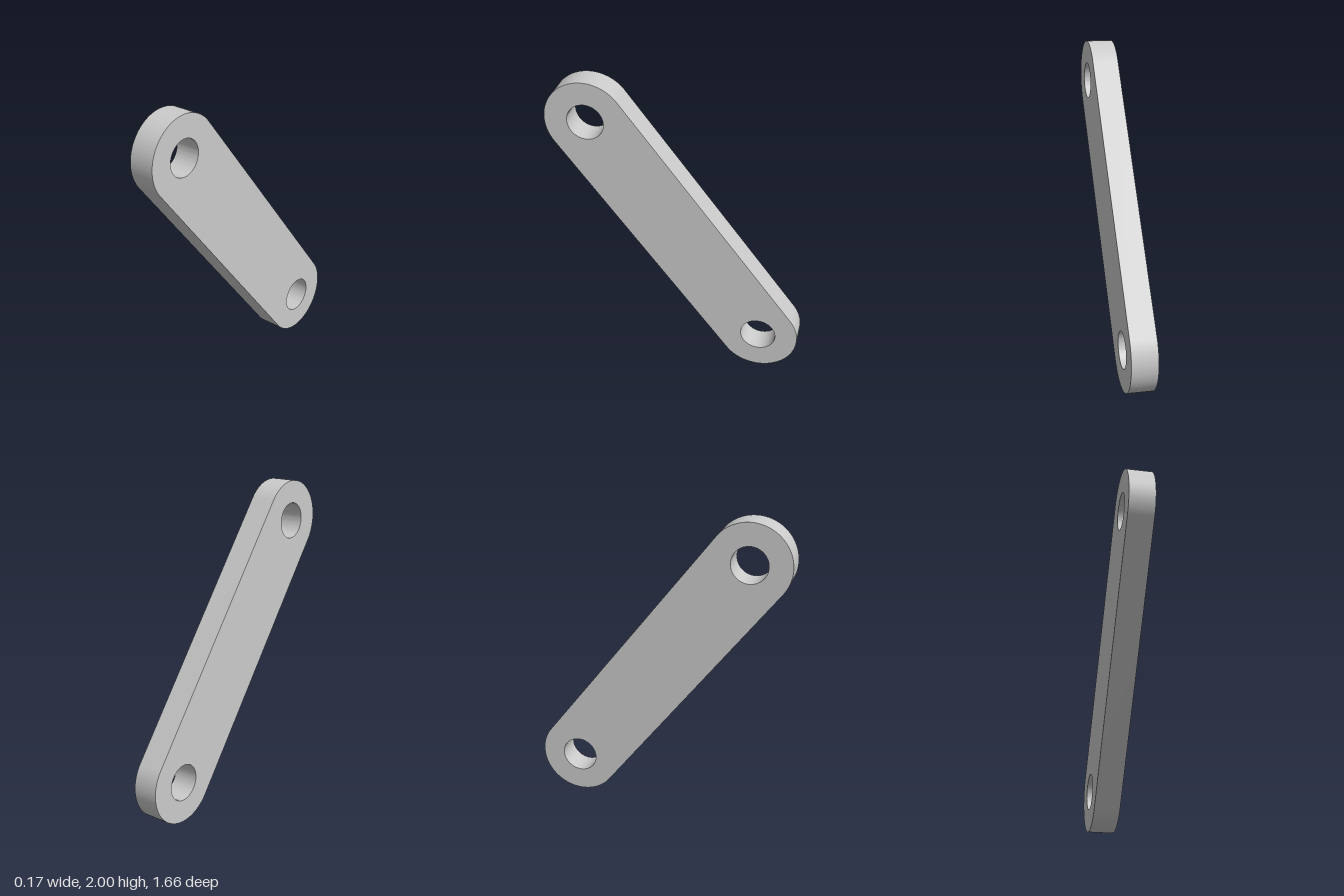
import * as THREE from 'three';
import { toCreasedNormals } from 'three/addons/utils/BufferGeometryUtils.js';

const PIN_Z = 0.567, PIN_Y = 0.737; // pin hole offset from the link centre
const END_RADIUS = 0.263, HOLE_RADIUS = 0.117, THICKNESS = 0.167;

export function createModel() {
  const group = new THREE.Group();
  group.name = 'linkArm';

  // Slanted outline with rounded ends, drawn in (z, y)
  const tilt = Math.atan2(PIN_Y, PIN_Z);
  const outline = new THREE.Shape();
  outline.absarc(PIN_Z, PIN_Y, END_RADIUS, tilt - Math.PI / 2, tilt + Math.PI / 2, false);
  outline.absarc(-PIN_Z, -PIN_Y, END_RADIUS, tilt + Math.PI / 2, tilt + Math.PI * 1.5, false);
  outline.closePath();

  // One pin hole at each end
  for (const s of [1, -1]) {
    const hole = new THREE.Path();
    hole.absarc(s * PIN_Z, s * PIN_Y, HOLE_RADIUS, 0, Math.PI * 2, true);
    outline.holes.push(hole);
  }

  // Extrude across the thickness and turn the outline into the z-y plane
  const extruded = new THREE.ExtrudeGeometry(outline, {
    depth: THICKNESS, bevelEnabled: false, curveSegments: 48,
  });
  extruded.translate(0, 0, -THICKNESS / 2);
  extruded.rotateY(-Math.PI / 2);
  extruded.translate(0, 1, 0);

  const link = new THREE.Mesh(
    toCreasedNormals(extruded, 0.5),
    new THREE.MeshStandardMaterial({ color: 0xcccccc }),
  );
  link.name = 'linkPlate';
  group.add(link);
  return group;
}
